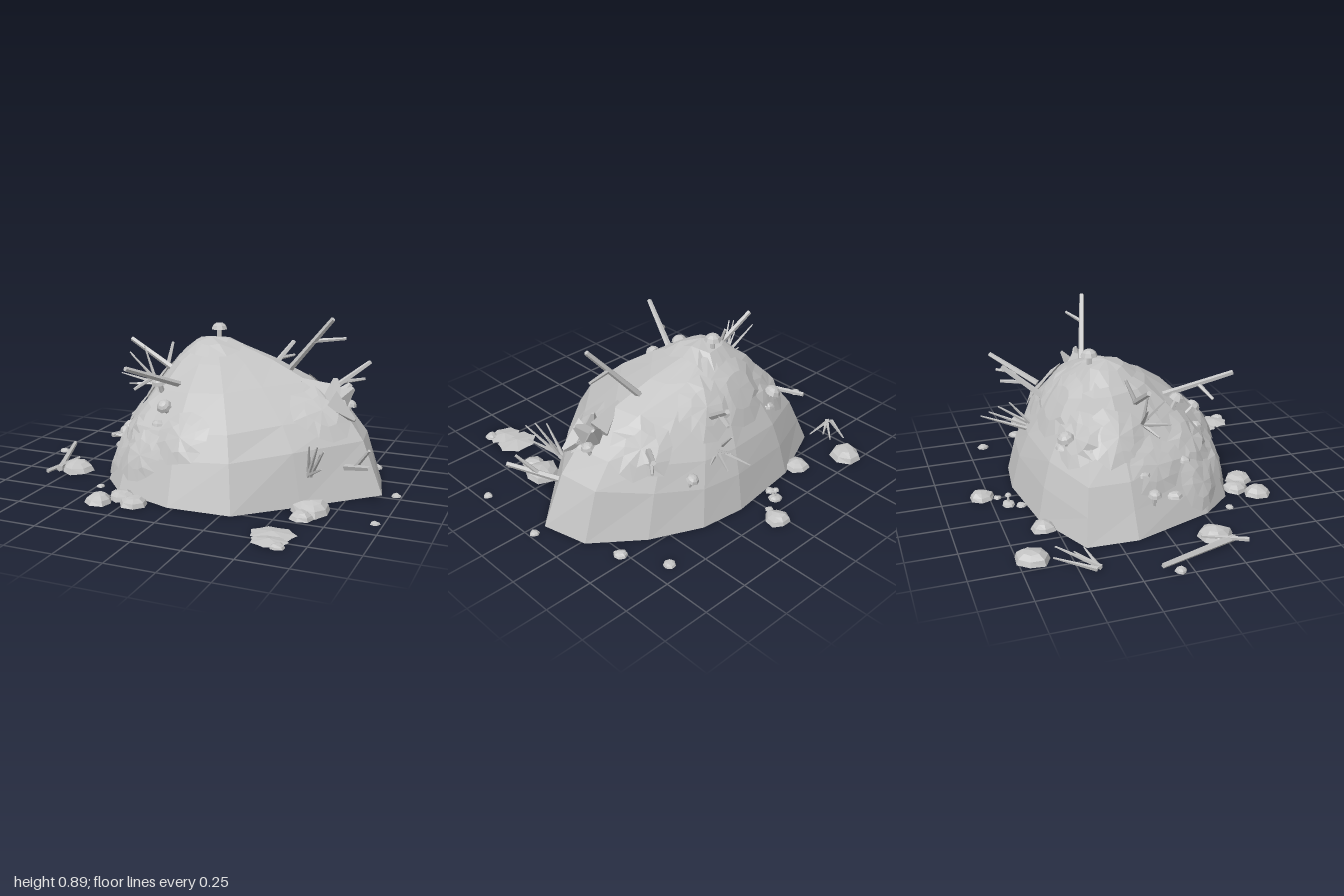
import * as THREE from 'three';

const V = (x, y, z) => new THREE.Vector3(x, y, z);

export function createModel() {
  const group = new THREE.Group();
  const grey = new THREE.MeshStandardMaterial({ color: 0xc4c4c4, flatShading: true, side: THREE.DoubleSide });
  grey.name = 'stone grey';
  let seed = 7;
  const rnd = () => (seed = (seed * 16807) % 2147483647) / 2147483647;

  const add = (name, geo, parent = group) => {
    const mesh = new THREE.Mesh(geo, grey);
    mesh.name = name;
    parent.add(mesh);
    return mesh;
  };
  const surface = (positions, index) => {
    const geo = new THREE.BufferGeometry();
    geo.setAttribute('position', new THREE.Float32BufferAttribute(positions, 3));
    geo.setIndex(index);
    geo.computeVertexNormals();
    return geo;
  };

  // Mound: base outline [x, z, fullness] drawn in toward the peak, open underneath
  const outline = [
    [0.9, -0.03, 1], [0.57, 0.29, 0.9], [0.3, 0.54, 0.75], [-0.03, 0.55, 0.6], [-0.36, 0.43, 0.4],
    [-0.5, 0.27, 0.15], [-0.65, -0.15, 0], [-0.64, -0.41, 0], [-0.3, -0.56, 0.25], [0.1, -0.61, 0.4],
    [0.34, -0.58, 0.45], [0.6, -0.46, 0.7], [0.84, -0.27, 0.95],
  ];
  const rings = [[1, 0, 0], [0.9, 0.13, 0.27], [0.8, 0.26, 0.39], [0.57, 0.45, 0.54], [0.36, 0.61, 0.63], [0.17, 0.69, 0.69]];
  const peak = V(-0.08, 0.72, -0.18);
  const n = outline.length, pos = [], idx = [];
  rings.forEach(([f, slim, full], r) => outline.forEach(([x, z, w], i) => {
    const k = r ? f * (0.985 + rnd() * 0.03) : f;
    pos.push(peak.x + (x - peak.x) * k, slim + (full - slim) * w, peak.z + (z - peak.z) * k);
    const j = (i + 1) % n, a = r * n + i, b = r * n + j;
    if (r < rings.length - 1) idx.push(a, a + n, b, b, a + n, b + n);
    else idx.push(a, rings.length * n, b);
  }));
  pos.push(peak.x, peak.y, peak.z);
  const mound = add('mound', surface(pos, idx));
  mound.updateMatrixWorld();

  const ray = new THREE.Raycaster();
  const hitMound = (origin, dir) => {
    ray.set(origin, dir);
    return ray.intersectObject(mound)[0];
  };
  const heightAt = (x, z) => hitMound(V(x, 2, z), V(0, -1, 0))?.point.y ?? 0;

  // Ragged moss patches wrapped on the mound around the spot nearest to (x, y, z)
  const core = V(0, 0.15, -0.05);
  const patch = (x, y, z, radius) => {
    const inward = core.clone().sub(V(x, y, z)).normalize();
    const { point, face } = hitMound(V(x, y, z).addScaledVector(inward, -1), inward);
    const out = face.normal, back = out.clone().negate();
    const side = V(0, 1, 0.01).cross(out).normalize(), up = out.clone().cross(side);
    const sides = 13, loops = [0.55, 1], p = point.clone().addScaledVector(out, 0.022).toArray(), t = [];
    const rag = Array.from({ length: sides }, () => 0.85 + rnd() * 0.3);
    loops.forEach((s, k) => {
      for (let i = 0; i < sides; i++) {
        const a = (i / sides) * Math.PI * 2, r = radius * s * rag[i];
        const flat = point.clone().addScaledVector(side, Math.cos(a) * r).addScaledVector(up, Math.sin(a) * r);
        const spot = hitMound(flat.clone().addScaledVector(out, 0.3), back)?.point ?? flat;
        spot.addScaledVector(out, k ? 0.01 : 0.016 + rnd() * 0.008);
        p.push(spot.x, Math.max(0, spot.y), spot.z);
        const j = (i + 1) % sides, A = 1 + k * sides + i, B = 1 + k * sides + j;
        if (k === 0) t.push(0, A, B);
        else t.push(A - sides, A, B, A - sides, B, B - sides);
      }
    });
    add('mossPatch', surface(p, t));
  };
  [[-0.01, 0.32, 0.42, 0.14], [-0.24, 0.2, 0.42, 0.14], [-0.34, 0.36, 0.25, 0.15], [-0.45, 0.15, 0.25, 0.13],
    [-0.5, 0.3, 0, 0.15], [-0.42, 0.45, -0.18, 0.15], [-0.08, 0.72, -0.14, 0.18], [-0.1, 0.58, -0.42, 0.18],
    [-0.36, 0.45, -0.38, 0.14], [0.15, 0.54, -0.4, 0.16], [0.64, 0.44, 0.02, 0.16], [0.56, 0.44, -0.34, 0.15]]
    .forEach((a) => patch(...a));

  // Low faceted rocks: irregular half shells resting on the ground
  const rock = (x, z, r, y = 0) => {
    const geo = new THREE.SphereGeometry(r, 7, 3, 0, Math.PI * 2, 0, Math.PI / 2), p = geo.attributes.position;
    for (let i = 0; i < p.count; i++) {
      const a = p.getX(i), c = p.getZ(i);
      const k = 1 + 0.13 * Math.sin((a / r) * 3 + x * 20) * Math.cos((c / r) * 4 + z * 17);
      p.setXYZ(i, a * k, p.getY(i) * k * 0.62, c * k);
    }
    geo.rotateY(x * 9 + z * 5);
    geo.computeVertexNormals();
    add('rock', geo).position.set(x, y, z);
  };
  [[-0.66, -0.68, 0.085], [-0.73, 0.21, 0.09], [-0.38, 0.6, 0.073], [-0.2, 0.57, 0.07], [-0.3, 0.51, 0.067],
    [0.64, 0.33, 0.095], [0.62, 0.43, 0.06], [0.03, -0.79, 0.066], [-0.09, -0.67, 0.036], [-0.39, -0.56, 0.068],
    [0.65, -0.66, 0.032], [0.77, -0.45, 0.036], [0.97, -0.04, 0.026], [0.96, 0.37, 0.024], [0.63, 0.81, 0.036],
    [-0.97, -0.06, 0.03], [-0.48, 0.4, 0.022], [-0.12, -0.61, 0.028], [0, -0.71, 0.022]].forEach((a) => rock(...a));
  [[-0.51, 0.08, 0.045], [-0.5, -0.08, 0.04], [-0.28, -0.42, 0.04], [-0.18, 0.32, 0.04], [-0.42, 0.16, 0.04]]
    .forEach(([x, z, r]) => rock(x, z, r, heightAt(x, z) - 0.01));

  // Flat fallen leaf: two scalloped lobes, barely domed
  [[0.56, 0.67, 0.1, 0.08], [0.575, 0.765, 0.08, 0.065]].forEach(([x, z, rx, rz], k) => {
    const geo = new THREE.ConeGeometry(1, 0.016, 14, 1, true), p = geo.attributes.position;
    for (let i = 0; i < p.count; i++) {
      const s = 1 + (i % 2) * 0.16;
      p.setXYZ(i, p.getX(i) * rx * s, p.getY(i), p.getZ(i) * rz * s);
    }
    add('groundLeaf', geo).position.set(x, 0.009 + k * 0.004, z);
  });

  // Tapered stick between two points
  const stick = (name, a, b, r0, r1, sides = 5) => {
    const d = b.clone().sub(a);
    const mesh = add(name, new THREE.CylinderGeometry(r1, r0, d.length(), sides));
    mesh.position.copy(a).addScaledVector(d, 0.5);
    mesh.quaternion.setFromUnitVectors(V(0, 1, 0), d.normalize());
    return mesh;
  };

  // Forked twigs: [start, end, fork start, fork end]
  [[V(0.33, 0.55, -0.15), V(0.61, 0.88, -0.06), V(0.5, 0.755, -0.09), V(0.66, 0.77, -0.14)],
    [V(-0.11, 0.5, 0.1), V(-0.28, 0.66, 0.48), V(-0.21, 0.59, 0.32), V(-0.29, 0.53, 0.37)],
    [V(-0.15, 0.49, -0.04), V(-0.52, 0.7, -0.06), V(-0.3, 0.57, -0.05), V(-0.29, 0.69, -0.1)],
    [V(0.5, 0.42, -0.36), V(0.68, 0.56, -0.59), V(0.57, 0.47, -0.45), V(0.66, 0.47, -0.56)],
    [V(0.13, 0.47, -0.4), V(0.23, 0.64, -0.61), V(0.18, 0.56, -0.51), V(0.23, 0.56, -0.62)],
    [V(0.73, 0.155, 0.06), V(0.9, 0.23, 0.26), V(0.8, 0.19, 0.14), V(0.88, 0.3, 0.2)],
    [V(-0.8, 0.02, 0.28), V(-0.95, 0.03, -0.14), V(-0.84, 0.02, 0.34), V(-0.77, 0.04, 0.12)]]
    .forEach(([a, b, c, d]) => {
      stick('twig', a, b, 0.018, 0.013);
      stick('twigFork', c, d, 0.012, 0.008);
    });

  // Grass tufts: thin blades fanning from a root
  const tuft = (root, tips) => tips.forEach((t) => {
    const foot = root.clone().add(V((rnd() - 0.5) * 0.03, 0, (rnd() - 0.5) * 0.03));
    stick('grassBlade', foot, V(...t), 0.012, 0.004, 4);
  });
  tuft(V(0.13, 0.3, -0.45), [[0.2, 0.39, -0.74], [0.29, 0.37, -0.68], [0.23, 0.42, -0.64], [0.27, 0.33, -0.55], [0.17, 0.46, -0.59]]);
  tuft(V(0.59, 0.14, 0.22), [[0.7, 0.32, 0.36], [0.66, 0.33, 0.33], [0.61, 0.32, 0.3], [0.69, 0.23, 0.36], [0.65, 0.27, 0.25]]);
  tuft(V(-0.36, 0.47, -0.04), [[-0.54, 0.62, -0.07], [-0.53, 0.53, 0.05], [-0.43, 0.67, -0.03], [-0.51, 0.46, 0], [-0.47, 0.63, 0.04]]);
  tuft(V(-0.85, 0.015, -0.41), [[-0.66, 0.05, -0.57], [-0.74, 0.04, -0.6], [-0.7, 0.03, -0.49], [-0.66, 0.02, -0.43]]);

  // Mushrooms: stem and shallow domed cap
  const mushroom = (x, y, z, s, tiltX = 0, tiltZ = 0) => {
    const shroom = new THREE.Group();
    shroom.name = 'mushroom';
    add('stem', new THREE.CylinderGeometry(0.012, 0.016, 0.1, 6), shroom).position.y = 0.02;
    const profile = [[0, 0.06], [0.045, 0.058], [0.036, 0.078], [0.02, 0.09], [0, 0.093]];
    add('cap', new THREE.LatheGeometry(profile.map((q) => new THREE.Vector2(...q)), 8), shroom);
    shroom.position.set(x, y, z);
    shroom.rotation.set(tiltX, 0, tiltZ);
    shroom.scale.setScalar(s);
    group.add(shroom);
  };
  [[-0.07, -0.22, 1, 0, 0], [-0.23, 0.17, 0.95, 0.4, 0.1], [-0.55, -0.04, 0.8, 0, 0.2], [-0.31, -0.4, 1, -0.3, 0.2],
    [0.36, -0.5, 0.75, -0.4, 0], [0.68, -0.14, 0.75, 0, -0.3], [-0.15, 0.28, 0.9, 0.8, 0]]
    .forEach(([x, z, s, a, b]) => mushroom(x, heightAt(x, z) - 0.005, z, s, a, b));
  mushroom(-0.09, 0.03, -0.67, 0.4);

  // Broad jagged dry leaves on the right shoulder: [tip, base]
  [[0.44, 0.55, -0.08, 0.6, 0.46, -0.12], [0.62, 0.57, -0.1, 0.62, 0.41, -0.06], [0.72, 0.53, -0.08, 0.6, 0.42, -0.1],
    [0.75, 0.38, -0.02, 0.62, 0.45, -0.06], [0.68, 0.53, -0.17, 0.62, 0.42, -0.1]].forEach(([x, y, z, a, b, c]) => {
    const leaf = stick('dryLeaf', V(a, b, c), V(x, y, z), 0.085, 0.012, 4);
    leaf.scale.z = 0.6;
  });
  return group;
}
